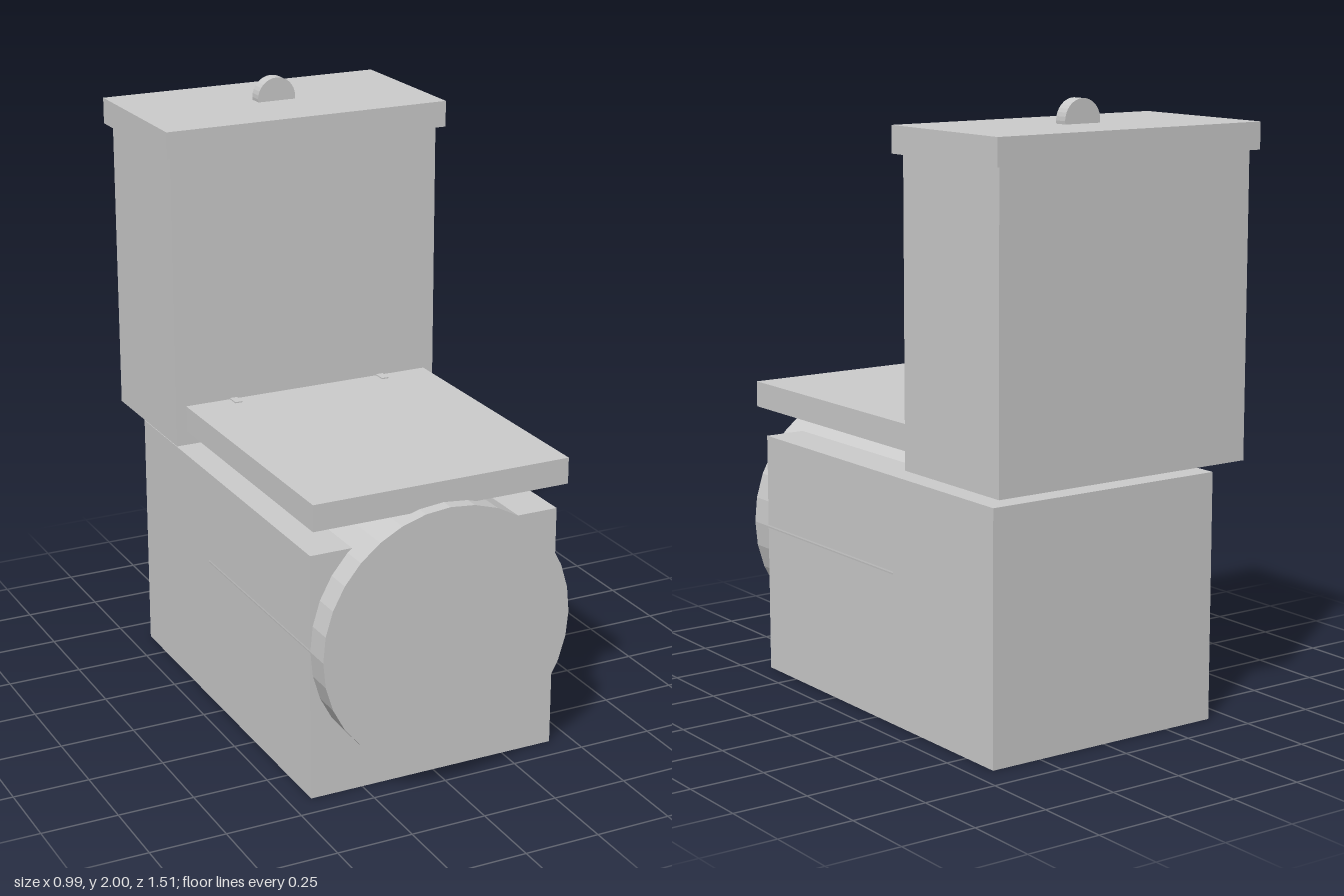
import * as THREE from 'three';

export function createModel() {
  const model = new THREE.Group();
  const porcelain = new THREE.MeshStandardMaterial({ color: 0xcccccc, flatShading: true });
  porcelain.name = 'porcelain grey';

  const add = (name, geometry) => {
    const mesh = new THREE.Mesh(geometry, porcelain);
    mesh.name = name;
    model.add(mesh);
    return mesh;
  };

  // Box given by its lower and upper limits on y and z, centred on x
  const box = (name, width, y0, y1, z0, z1, x = 0) =>
    add(name, new THREE.BoxGeometry(width, y1 - y0, z1 - z0))
      .position.set(x, (y0 + y1) / 2, (z0 + z1) / 2);

  // Cylinder lying along z
  const drum = (name, radius, y, z0, z1) =>
    add(name, new THREE.CylinderGeometry(radius, radius, z1 - z0, 32).rotateX(Math.PI / 2))
      .position.set(0, y, (z0 + z1) / 2);

  // Pedestal and the round bowl set into it
  box('pedestal', 0.855, 0, 0.815, -0.64, 0.668);
  drum('bowl', 0.428, 0.5, -0.1, 0.757);

  // Seat lid, reaching into the tank front, and its two hinges
  box('seatLid', 0.877, 0.911, 0.997, -0.25, 0.712);
  for (const side of [-1, 1]) {
    box(side < 0 ? 'rightHinge' : 'leftHinge', 0.025, 0.92, 1.001, -0.245, -0.195, side * 0.27);
  }

  // Tank, its lid and the flush knob
  box('tank', 0.947, 0.863, 1.84, -0.732, -0.24);
  box('tankLid', 0.992, 1.837, 1.923, -0.755, -0.212);
  drum('flushKnob', 0.067, 1.933, -0.508, -0.463);

  return model;
}
